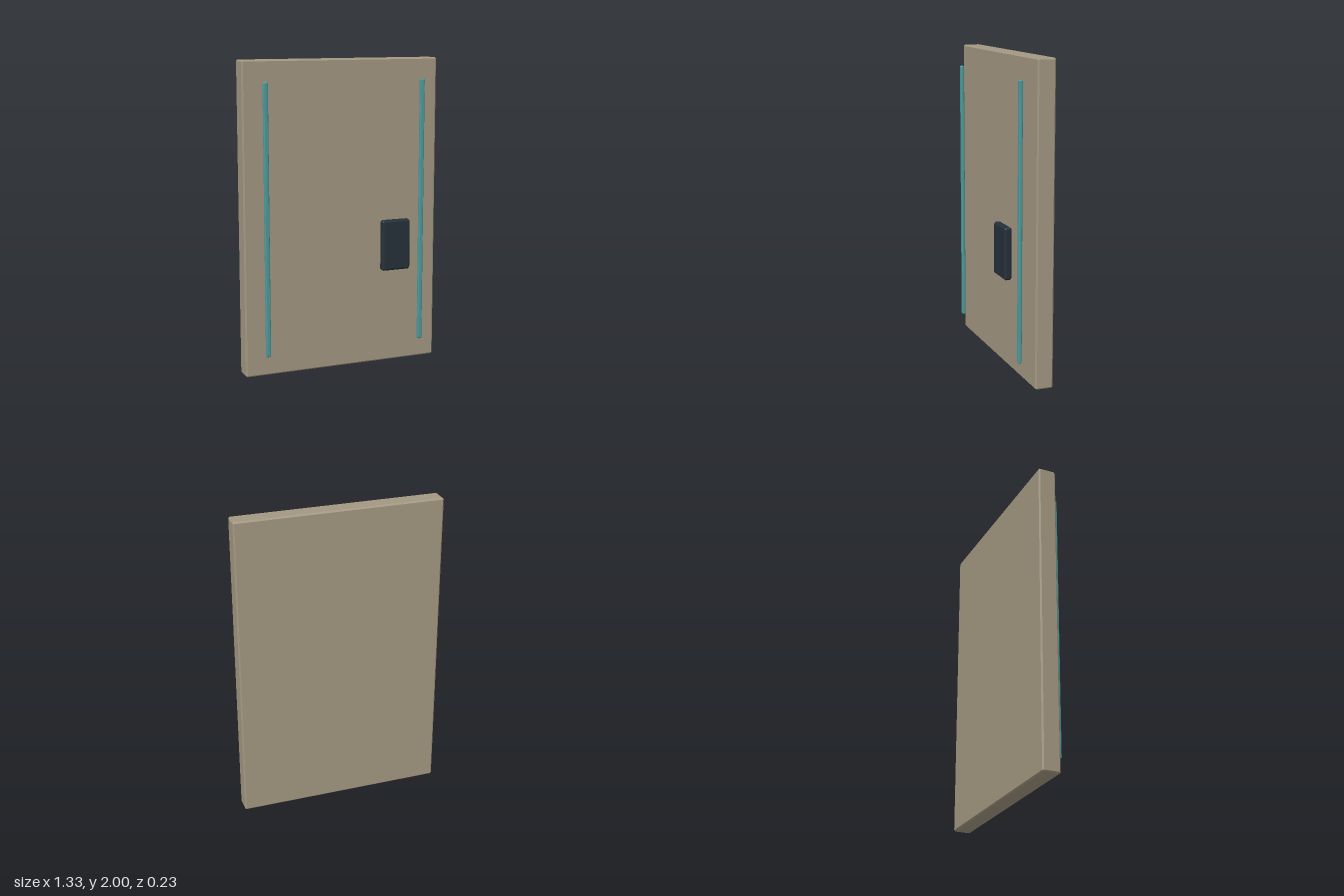
import * as THREE from 'three';
import { ConvexGeometry } from 'three/addons/geometries/ConvexGeometry.js';

// Box with every edge cut at 45 degrees by c
function chamferBox(w, h, d, c) {
  const points = [];
  for (const sx of [-1, 1]) for (const sy of [-1, 1]) for (const sz of [-1, 1]) {
    const x = w / 2, y = h / 2, z = d / 2;
    points.push(
      new THREE.Vector3(sx * x, sy * (y - c), sz * (z - c)),
      new THREE.Vector3(sx * (x - c), sy * y, sz * (z - c)),
      new THREE.Vector3(sx * (x - c), sy * (y - c), sz * z)
    );
  }
  return new ConvexGeometry(points);
}

export function createModel() {
  const model = new THREE.Group();
  model.name = 'slidingDoor';

  const paint = (color) => new THREE.MeshStandardMaterial({ color });
  const slabMaterial = paint(0xa39781);
  const stripMaterial = paint(0x4c9a9c);
  const panelMaterial = paint(0x252f39);

  function addPart(name, size, position, chamfer, material) {
    const mesh = new THREE.Mesh(chamferBox(...size, chamfer), material);
    mesh.name = name;
    mesh.position.set(...position);
    model.add(mesh);
  }

  // Main door leaf
  addPart('doorSlab', [1.328, 2, 0.115], [0, 1, -0.057], 0.009, slabMaterial);

  // Upright strips standing off the front face
  for (const [name, side] of [['leftStrip', 1], ['rightStrip', -1]]) {
    addPart(name, [0.031, 1.73, 0.023], [side * 0.533, 1.003, 0.055], 0.006, stripMaterial);
  }

  // Control panel
  addPart('controlPanel', [0.197, 0.33, 0.049], [0.332, 0.802, 0.089], 0.011, panelMaterial);

  return model;
}
